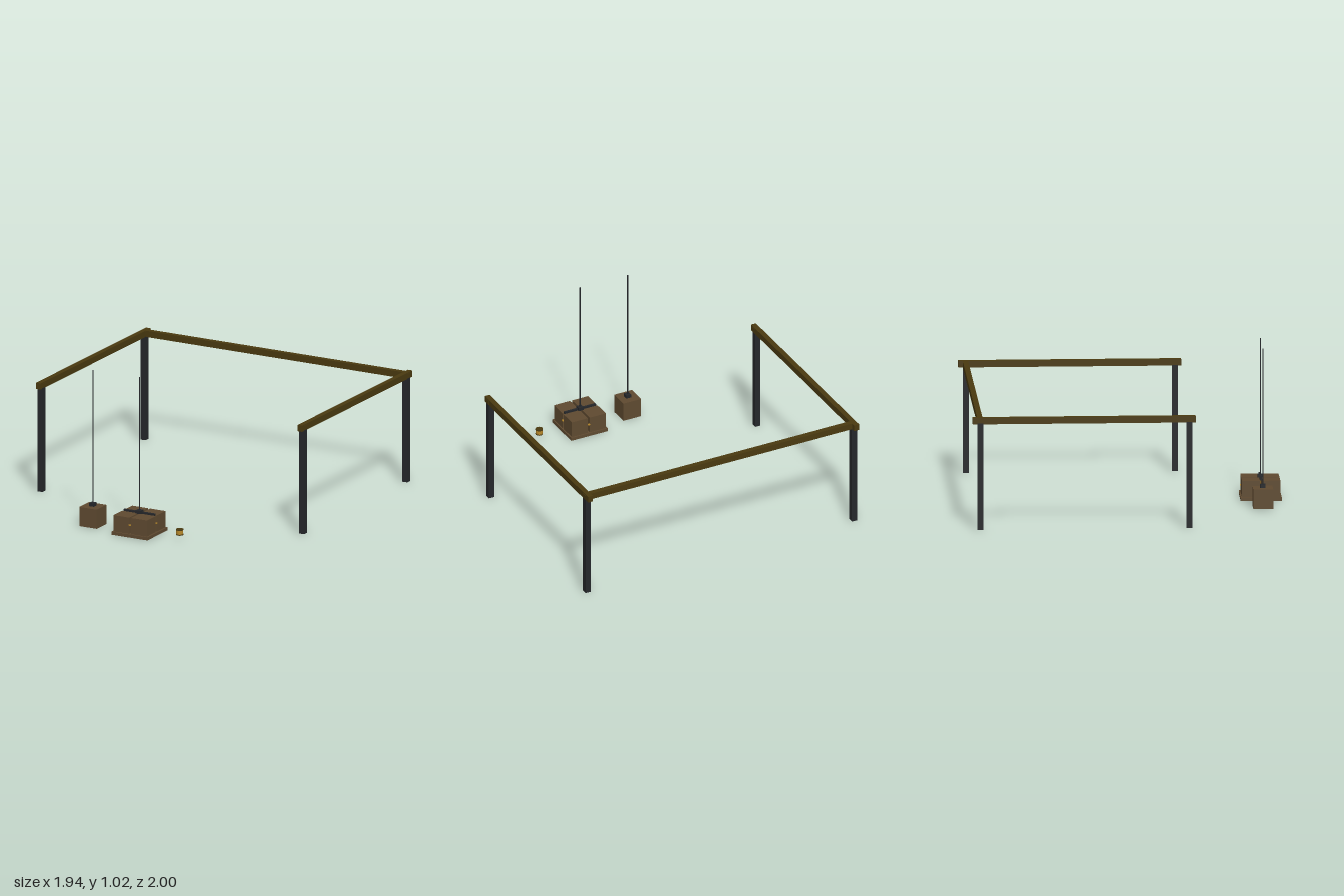
import * as THREE from 'three';

export function createModel() {
  const model = new THREE.Group();
  const mat = (name, color) => {
    const m = new THREE.MeshStandardMaterial({ color });
    m.name = name;
    return m;
  };
  const olive = mat('dark olive', 0x4a3a10);
  const iron = mat('dark iron', 0x25272a);
  const brown = mat('crate brown', 0x5f4a30);
  const gold = mat('gold', 0xb8892b);

  const add = (parent, name, geometry, material, x, y, z) => {
    const mesh = new THREE.Mesh(geometry, material);
    mesh.name = name;
    mesh.position.set(x, y, z);
    parent.add(mesh);
    return mesh;
  };
  // Box given by its centre in x and z and its bottom in y
  const box = (parent, name, material, w, h, d, x, y, z) =>
    add(parent, name, new THREE.BoxGeometry(w, h, d), material, x, y + h / 2, z);
  const group = (name, x, z) => {
    const g = new THREE.Group();
    g.name = name;
    g.position.set(x, 0, z);
    model.add(g);
    return g;
  };
  const rope = (parent, bottom, top) =>
    add(parent, 'hoistCable', new THREE.CylinderGeometry(0.0035, 0.0035, top - bottom, 8), iron,
      0, (top + bottom) / 2, 0);

  // Three-sided frame: posts, side rails and rear rail
  const frame = group('frame', 0, 0);
  for (const side of [-1, 1]) {
    for (const z of [0.37, -0.952]) {
      box(frame, 'post', iron, 0.037, 0.685, 0.037, side * 0.95, 0, z);
      box(frame, 'postCap', olive, 0.04, 0.03, 0.037, side * 0.95, 0.685, z);
    }
    box(frame, 'sideRail', olive, 0.034, 0.041, 1.41, side * 0.95, 0.68, -0.295);
  }
  box(frame, 'rearRail', olive, 1.93, 0.041, 0.034, 0, 0.68, -0.955);

  // Small hanging crate
  const small = group('smallCrate', -0.294, 0.867);
  box(small, 'crate', brown, 0.126, 0.126, 0.126, 0, 0, 0);
  box(small, 'hookBlock', iron, 0.034, 0.022, 0.034, 0, 0.126, 0);
  rope(small, 0.14, 1.02);

  // Large load: pallet with four boxes under a spreader bar
  const load = group('largeLoad', 0.045, 0.867);
  box(load, 'pallet', brown, 0.26, 0.021, 0.26, 0, 0, 0);
  for (const sx of [-1, 1]) {
    for (const sz of [-1, 1]) {
      box(load, 'cargoBox', brown, 0.114, 0.107, 0.114, sx * 0.064, 0.021, sz * 0.064);
    }
    // Small lugs in the middle of each side
    box(load, 'sideLug', gold, 0.012, 0.006, 0.014, sx * 0.122, 0.077, 0);
    box(load, 'endLug', gold, 0.014, 0.006, 0.012, 0, 0.077, sx * 0.122);
  }
  box(load, 'spreaderBar', iron, 0.224, 0.013, 0.014, 0, 0.127, 0);
  box(load, 'hookBlock', iron, 0.036, 0.022, 0.034, 0, 0.127, 0);
  rope(load, 0.14, 1.024);

  // Small drum with dark lids
  const drum = group('drum', 0.336, 0.867);
  add(drum, 'drumBody', new THREE.CylinderGeometry(0.022, 0.022, 0.026, 16), gold, 0, 0.047, 0);
  for (const y of [0.031, 0.063]) {
    add(drum, 'drumLid', new THREE.CylinderGeometry(0.024, 0.024, 0.006, 16), olive, 0, y, 0);
  }
  return model;
}
